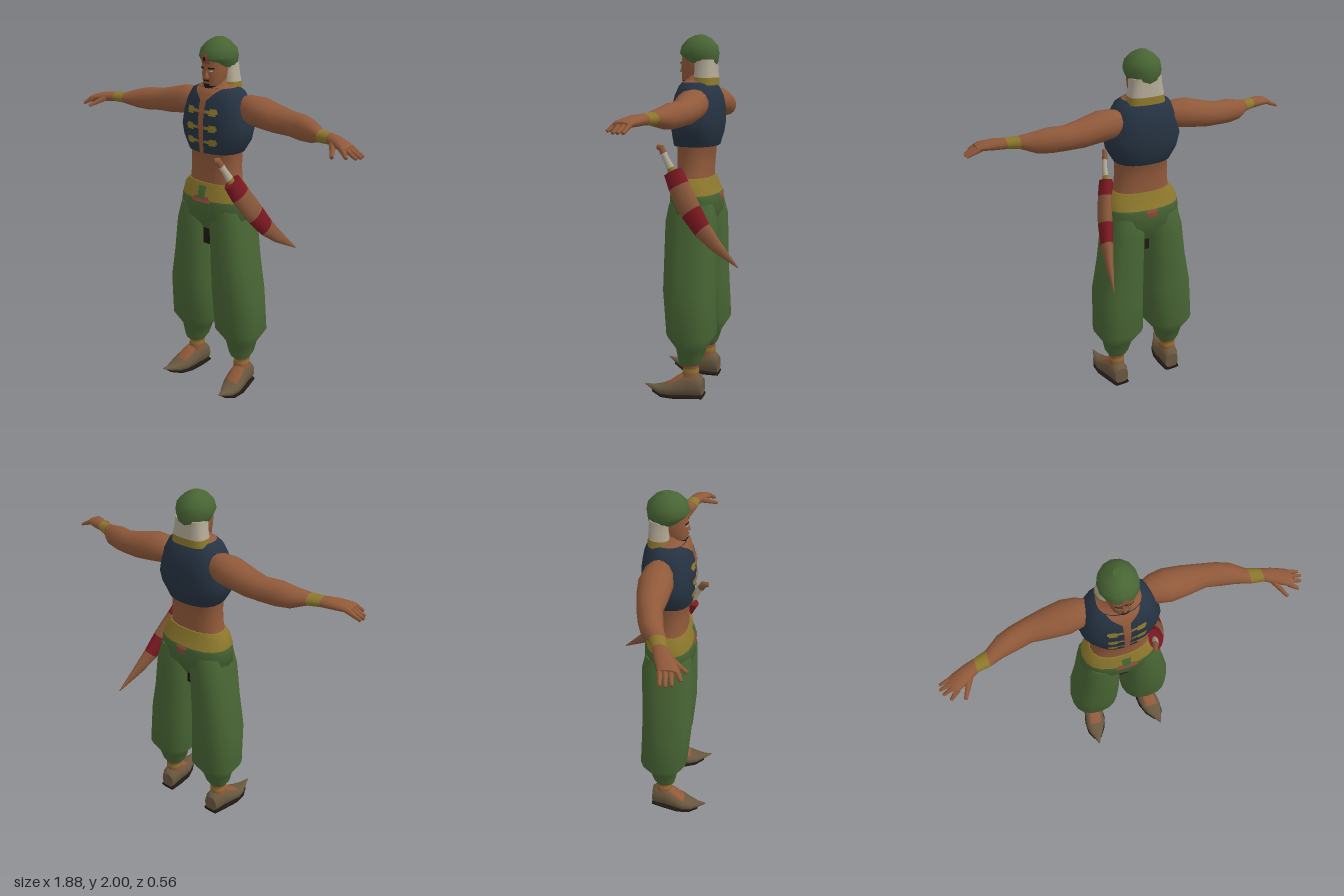
import * as THREE from 'three';

const mat = (name, color) => {
  const m = new THREE.MeshStandardMaterial({ color });
  m.name = name;
  return m;
};
const V = (x, y, z) => new THREE.Vector3(x, y, z);

export function createModel() {
  const root = new THREE.Group();
  root.name = 'swordsman';
  const skin = mat('skin', 0x90593a), green = mat('green cloth', 0x486534), navy = mat('navy cloth', 0x263342),
    gold = mat('gold', 0x8c772c), cream = mat('cream cloth', 0xb3a996), red = mat('red leather', 0x7a1820),
    dark = mat('dark', 0x1e1813), shoe = mat('shoe leather', 0x68573f), tan = mat('scabbard leather', 0x87573a),
    rust = mat('rust', 0x8c4a38);

  const add = (name, geo, material, parent = root) => {
    const m = new THREE.Mesh(geo, material);
    m.name = name;
    parent.add(m);
    return m;
  };

  // Skin over rings {c, u, v, m}: centre, two half axes (u x v = direction of travel), colour of the span that follows
  function loft(name, rings, material, { n = 20, e = 0.85, parent = root } = {}) {
    const pos = [], idx = [], mats = [material], groups = [];
    const sp = t => Math.sign(t) * Math.pow(Math.abs(t), e);
    const put = ({ c, u, v }) => {
      for (let j = 0; j < n; j++) {
        const a = j / n * Math.PI * 2;
        const p = c.clone().addScaledVector(u, sp(Math.cos(a))).addScaledVector(v, sp(Math.sin(a)));
        pos.push(p.x, p.y, p.z);
      }
    };
    rings.forEach(put);
    let current = material;
    const span = (m, make) => {
      if (!mats.includes(m)) mats.push(m);
      const start = idx.length;
      make();
      groups.push([start, idx.length - start, mats.indexOf(m)]);
    };
    const cap = (ring, flip) => {
      const base = pos.length / 3;
      put(ring);
      pos.push(ring.c.x, ring.c.y, ring.c.z);
      for (let j = 0; j < n; j++) {
        const a = base + j, b = base + (j + 1) % n;
        idx.push(base + n, flip ? b : a, flip ? a : b);
      }
    };
    span(rings[0].m || material, () => cap(rings[0], true));
    for (let i = 0; i < rings.length - 1; i++) {
      current = rings[i].m || current;
      span(current, () => {
        for (let j = 0; j < n; j++) {
          const a = i * n + j, b = i * n + (j + 1) % n;
          idx.push(a, b, b + n, a, b + n, a + n);
        }
      });
    }
    span(current, () => cap(rings[rings.length - 1], false));
    const g = new THREE.BufferGeometry();
    g.setAttribute('position', new THREE.Float32BufferAttribute(pos, 3));
    g.setIndex(idx);
    g.computeVertexNormals();
    if (mats.length > 1) groups.forEach(q => g.addGroup(...q));
    return add(name, g, mats.length > 1 ? mats : material, parent);
  }
  // Section lists: [position along axis, centre, centre, radius, radius, colour]
  const alongY = s => s.map(([y, cx, cz, rx, rz, m]) => ({ c: V(cx, y, cz), u: V(0, 0, rz), v: V(rx, 0, 0), m }));
  const alongX = s => s.map(([x, cy, cz, ry, rz, m]) => ({ c: V(x, cy, cz), u: V(0, ry, 0), v: V(0, 0, rz), m }));
  const alongZ = s => s.map(([z, cx, cy, rx, ry, m]) => ({ c: V(cx, cy, z), u: V(rx, 0, 0), v: V(0, ry, 0), m }));
  // Path sections: [x, y, z, thin radius, wide radius, colour]
  const alongPath = s => s.map(([x, y, z, thin, wide, m], i) => {
    const a = s[Math.max(i - 1, 0)], b = s[Math.min(i + 1, s.length - 1)];
    const t = V(b[0] - a[0], b[1] - a[1], b[2] - a[2]).normalize();
    const v = V(1, 0, 0).addScaledVector(t, -t.x).normalize();
    return { c: V(x, y, z), u: v.clone().cross(t).multiplyScalar(wide), v: v.multiplyScalar(thin), m };
  });

  // Thin plate lying on the front (side 1) or back (side -1) of a vertical loft
  function patch(name, secs, material, [bl, br], [tl, tr], y0, y1, { side = 1, off = 0.005, e = 0.85 } = {}) {
    const g = new THREE.PlaneGeometry(1, 1, 6, 6), p = g.attributes.position;
    for (let i = 0; i < p.count; i++) {
      const u = p.getX(i) + 0.5, w = p.getY(i) + 0.5, y = y0 + (y1 - y0) * w;
      const x = side * THREE.MathUtils.lerp(bl + (tl - bl) * w, br + (tr - br) * w, u);
      let k = 0;
      while (k < secs.length - 2 && secs[k + 1][0] <= y) k++;
      const A = secs[k], B = secs[k + 1], f = (y - A[0]) / (B[0] - A[0]);
      const mix = q => A[q] + (B[q] - A[q]) * f;
      const r = Math.min(Math.abs((x - mix(1)) / mix(3)), 1);
      p.setXYZ(i, x, y, mix(2) + side * (mix(4) * Math.pow(1 - Math.pow(r, 2 / e), e / 2) + off));
    }
    g.computeVertexNormals();
    add(name, g, material);
  }

  // Torso: bare waist, sleeveless vest, neck
  const torso = [[1.2, 0, .04, .18, .1, skin], [1.25, 0, .04, .158, .094], [1.33, 0, .037, .15, .098], [1.405, 0, .035, .15, .102],
    [1.41, 0, .035, .157, .122, navy], [1.48, 0, .028, .2, .134], [1.54, 0, .025, .213, .14], [1.62, 0, .024, .195, .138],
    [1.68, 0, .022, .178, .125], [1.73, 0, .024, .15, .102], [1.75, 0, .025, .11, .085, skin], [1.77, 0, .03, .066, .058], [1.82, 0, .03, .055, .05]];
  loft('torso and vest', alongY(torso), skin);
  patch('vest opening', torso, skin, [-.013, .013], [-.02, .02], 1.412, 1.69);
  patch('neckline', torso, skin, [-.02, .02], [-.085, .085], 1.69, 1.75);
  for (const y of [1.475, 1.55, 1.635]) for (const s of [-1, 1]) {
    const range = (a, b) => s > 0 ? [a, b] : [-b, -a];
    patch('vest clasp bar', torso, gold, range(.022, .1), range(.022, .1), y - .008, y + .008);
    patch('vest clasp lobe', torso, gold, range(.05, .092), range(.055, .097), y - .018, y + .018, { off: .007 });
    patch('vest clasp tab', torso, skin, range(0, .03), range(0, .03), y - .006, y + .006, { off: .008 });
  }

  // Hips, sash and sash ornaments
  const hips = [[.95, 0, .033, .12, .08, green], [1.05, 0, .035, .222, .138], [1.14, 0, .035, .213, .138],
    [1.15, 0, .036, .212, .132, gold], [1.2, 0, .04, .2, .115], [1.24, 0, .04, .166, .102]];
  loft('hips and sash', alongY(hips), green);
  patch('sash jewel', hips, green, [-.022, .022], [-.026, .026], 1.16, 1.225, { off: .009 });
  patch('sash knot', hips, rust, [-.065, .065], [-.045, .045], 1.14, 1.17);
  patch('sash tail', hips, rust, [-.025, .025], [-.035, .035], 1.11, 1.15, { side: -1 });
  add('crotch shadow cloth', new THREE.BoxGeometry(.09, .1, .16).translate(0, .93, .045), dark);

  // Head
  const head = [[1.74, 0, .07, .035, .04, dark], [1.762, 0, .06, .052, .056, skin], [1.8, 0, .04, .064, .078], [1.85, 0, .035, .07, .084], [1.91, 0, .03, .07, .08]];
  loft('head', alongY(head), skin);
  patch('mouth', head, dark, [-.022, .022], [-.016, .016], 1.785, 1.792);
  patch('goatee', head, dark, [-.014, .014], [-.02, .02], 1.748, 1.772);
  for (const s of [-1, 1]) {
    patch('eye', head, cream, [s * .03 - .01, s * .03 + .01], [s * .03 - .01, s * .03 + .01], 1.834, 1.842);
    patch('brow', head, dark, [s * .03 - .016, s * .03 + .016], [s * .03 - .016, s * .03 + .016], 1.848, 1.856);
  }
  add('nose', new THREE.ConeGeometry(.016, .045, 4).translate(0, 1.825, .118), skin);

  // Neck cloth with gold hem, and turban
  loft('neck cloth', alongY([[1.735, 0, -.02, .105, .062, gold], [1.775, 0, -.02, .1, .06, cream],
    [1.82, 0, -.018, .09, .058], [1.87, 0, -.015, .085, .06]]), cream, { e: .7 });
  const turban = [[1.845, 0, .015, .078, .085], [1.87, 0, .018, .092, .102], [1.905, 0, .02, .1, .11],
    [1.945, 0, .018, .092, .1], [1.98, 0, .018, .058, .066], [2, 0, .015, .022, .026]];
  const wrap = loft('turban', alongY(turban), green, { n: 14, e: 1 });
  const tp = wrap.geometry.attributes.position;
  for (let i = 0; i < tp.count; i++) // brim rises toward the brow
    if (tp.getY(i) < 1.9) tp.setY(i, tp.getY(i) + (tp.getZ(i) + .01) * .18);
  wrap.geometry.computeVertexNormals();
  patch('turban jewel mount', turban, rust, [-.028, .028], [-.012, .012], 1.875, 1.93, { e: 1, off: .006 });
  patch('turban jewel', turban, dark, [-.008, .008], [-.006, .006], 1.89, 1.91, { e: 1, off: .009 });

  // Limbs of the model's left side, mirrored below
  const left = new THREE.Group();
  left.name = 'left limbs';
  root.add(left);
  const on = (o = {}) => ({ parent: left, ...o });

  loft('arm', alongX([[.14, 1.645, -.005, .06, .055], [.19, 1.642, -.008, .076, .076], [.26, 1.637, -.008, .08, .088],
    [.36, 1.618, -.012, .073, .078], [.45, 1.607, -.012, .064, .063], [.53, 1.603, .005, .066, .062], [.6, 1.597, .022, .055, .056],
    [.67, 1.597, .06, .032, .042, gold], [.735, 1.598, .077, .028, .036, skin], [.79, 1.595, .1, .028, .045],
    [.85, 1.587, .125, .021, .05], [.875, 1.58, .13, .016, .046]]), skin, on({ n: 14, e: 1 }));
  const finger = (name, a, b, r) => {
    const d = b.clone().sub(a);
    const g = new THREE.CylinderGeometry(r * .55, r, d.length(), 6);
    g.applyQuaternion(new THREE.Quaternion().setFromUnitVectors(V(0, 1, 0), d.clone().normalize()));
    const c = a.clone().add(b).multiplyScalar(.5);
    add(name, g.translate(c.x, c.y, c.z), skin, left);
  };
  [[.093, .1, .93], [.117, .125, .935], [.14, .152, .925], [.163, .19, .895]].forEach(([z0, z1, x], i) =>
    finger('finger', V(.85, 1.586, z0), V(x, 1.55 + (i === 3 ? .005 : 0), z1), .015));
  finger('thumb', V(.78, 1.59, .125), V(.83, 1.552, .21), .017);

  loft('trouser leg', alongY([[.195, .172, .03, .055, .058], [.22, .171, .025, .07, .068], [.29, .168, .02, .088, .085],
    [.37, .162, .02, .145, .138], [.62, .153, .035, .143, .143], [.8, .134, .035, .126, .143],
    [1, .117, .033, .115, .143], [1.1, .11, .035, .096, .122]]), green, on({ n: 18 }));
  loft('ankle', alongY([[.07, .18, .03, .05, .055], [.15, .174, .022, .044, .046, gold], [.175, .174, .022, .045, .046, rust],
    [.195, .173, .025, .045, .046], [.22, .173, .025, .045, .045]]), skin, on({ n: 12 }));
  loft('shoe', alongZ([[-.048, .172, .06, .042, .05], [-.02, .174, .073, .052, .065], [.03, .18, .075, .056, .067],
    [.08, .187, .062, .062, .054], [.14, .197, .045, .062, .037], [.19, .205, .037, .046, .026], [.235, .211, .044, .022, .014],
    [.28, .216, .06, .003, .003]]), shoe, on({ n: 14 }));
  loft('instep', alongZ([[.055, .183, .115, .035, .03], [.09, .189, .098, .042, .025], [.14, .197, .07, .042, .015],
    [.165, .201, .058, .03, .008]]), skin, on({ n: 12 }));
  loft('sole', alongZ([[-.05, .172, .009, .046, .009], [.03, .18, .009, .06, .009], [.11, .192, .009, .068, .009],
    [.18, .204, .012, .055, .01], [.235, .211, .03, .025, .008]]), dark, on({ n: 10, e: .6 }));

  const right = new THREE.Group();
  right.name = 'right limbs';
  root.add(right);
  for (const m of left.children) {
    const g = m.geometry.clone().scale(-1, 1, 1), ix = g.index.array;
    for (let i = 0; i < ix.length; i += 3) [ix[i + 1], ix[i + 2]] = [ix[i + 2], ix[i + 1]];
    g.computeVertexNormals();
    add(m.name, g, m.material, right);
  }

  // Sheathed sword on the left hip
  const sword = new THREE.Group();
  sword.name = 'sword';
  root.add(sword);
  loft('scabbard', alongPath([[.172, 1.275, .12, .034, .056, red], [.195, 1.2, .08, .038, .062, tan], [.222, 1.12, .03, .038, .064],
    [.236, 1.075, 0, .037, .062, red], [.26, .985, -.07, .032, .052, tan], [.285, .91, -.15, .022, .036],
    [.32, .81, -.28, .002, .003]]), tan, { n: 12, e: 1, parent: sword });
  loft('hilt', alongPath([[.172, 1.27, .12, .016, .022, gold], [.168, 1.295, .135, .016, .024, cream], [.158, 1.345, .165, .013, .018],
    [.15, 1.37, .18, .014, .02, tan], [.14, 1.4, .195, .014, .02], [.135, 1.405, .222, .01, .014]]), cream, { n: 10, e: 1, parent: sword });
  return root;
}
